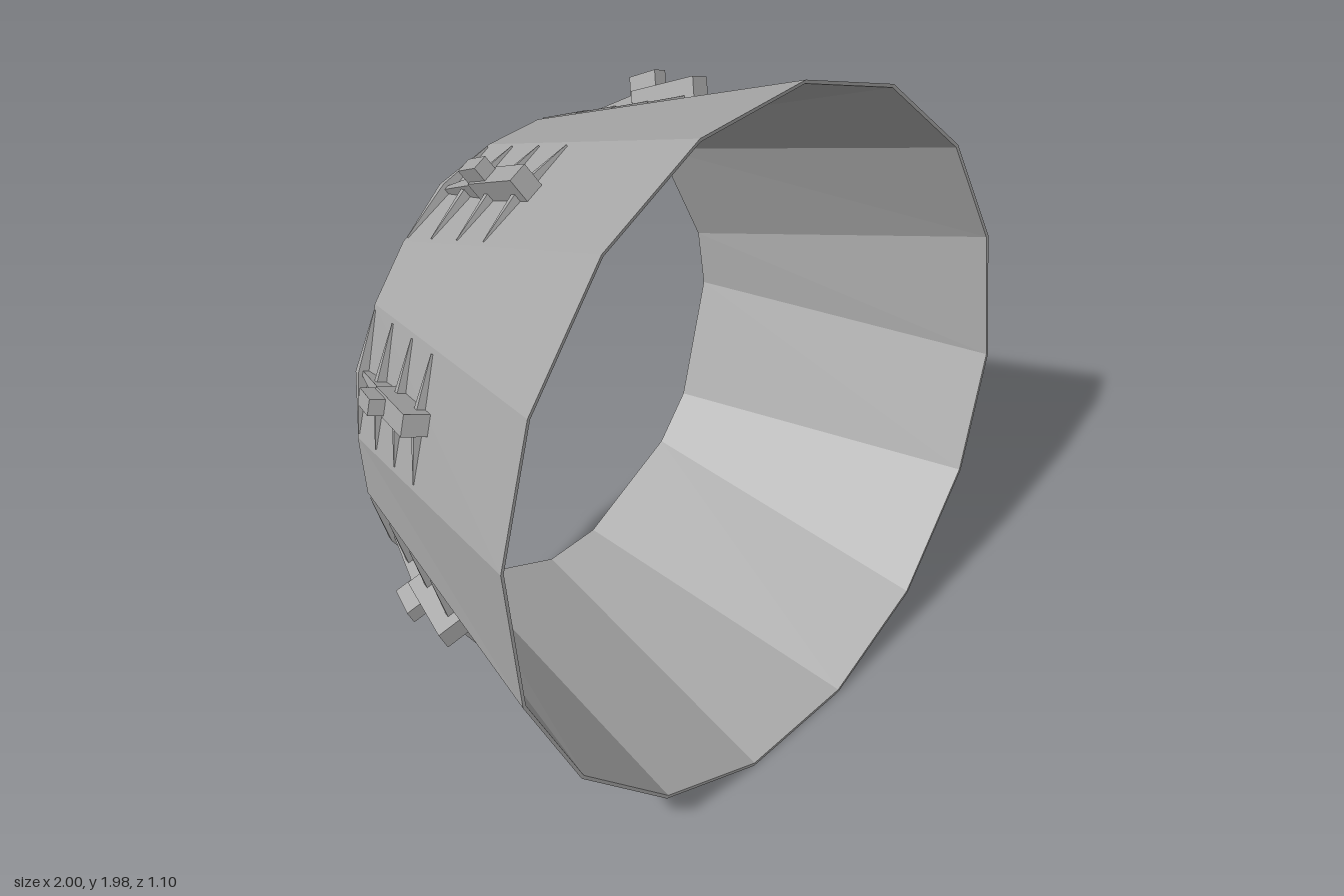
import * as THREE from 'three';

const steel = new THREE.MeshStandardMaterial({ color: 0xaaaaaa, flatShading: true });
steel.name = 'steel grey';

// Right half of each rim, from the top down: [x, y]
const FRONT = [[0.2, 1.985], [0.56, 1.84], [0.85, 1.55], [1, 1.2], [1, 0.795], [0.85, 0.45], [0.56, 0.155], [0.2, 0.005]];
const REAR = [[0.095, 1.605], [0.44, 1.46], [0.57, 1.33], [0.71, 0.98], [0.715, 0.8], [0.57, 0.45], [0.445, 0.33], [0.095, 0.18]];

// Mirrors a half rim into a full tilted ring of 16 points
function ring(half, centreY, z, shrink = 0) {
  const full = [...half, ...half.slice().reverse().map(([x, y]) => [-x, y])];
  return full.map(([x, y]) => {
    const r = Math.hypot(x, y - centreY);
    const s = 1 - shrink / r;
    return new THREE.Vector3(x * s, centreY + (y - centreY) * s, z - 0.122 * (y - centreY));
  });
}

// Thin-walled faceted shell: outer front, outer rear, inner rear, inner front
function makeShell(outerFront, outerRear) {
  const rings = [outerFront, outerRear, ring(REAR, 0.89, -0.457, 0.006), ring(FRONT, 1, 0.43, 0.01)];
  const points = [];
  rings.forEach((a, i) => {
    const b = rings[(i + 1) % rings.length];
    for (let k = 0; k < 16; k++) {
      const n = (k + 1) % 16;
      points.push(a[k], a[n], b[n], a[k], b[n], b[k]);
    }
  });
  const geometry = new THREE.BufferGeometry().setFromPoints(points);
  geometry.computeVertexNormals();
  const shell = new THREE.Mesh(geometry, steel);
  shell.name = 'shell';
  return shell;
}

// Box along z from z0 to z1, tapering from width w0, height h0 to w1, h1
function taperedBar(name, z0, z1, w0, h0, w1, h1, base = -0.003) {
  const geometry = new THREE.BoxGeometry(1, 1, 1);
  const p = geometry.attributes.position;
  for (let i = 0; i < p.count; i++) {
    const far = p.getZ(i) > 0;
    p.setXYZ(i, p.getX(i) * (far ? w1 : w0),
      p.getY(i) > 0 ? (far ? h1 : h0) : base, far ? z1 : z0);
  }
  geometry.computeVertexNormals();
  const mesh = new THREE.Mesh(geometry, steel);
  mesh.name = name;
  return mesh;
}

// Actuator: local z runs to the rear, y points out of the panel
function makeActuator(length) {
  const g = new THREE.Group();
  g.name = 'actuator';
  g.add(taperedBar('actuatorBody', 0.53 * length, 0.77 * length, 0.06, 0.075, 0.06, 0.06));
  g.add(taperedBar('actuatorHousing', 0.68 * length, 0.78 * length, 0.045, 0.11, 0.045, 0.1, 0.03));
  g.add(taperedBar('tailRod', 0.77 * length, 0.995 * length, 0.045, 0.05, 0.012, 0.015));
  // Pointed ribs on both sides
  for (const t of [0.575, 0.715, 0.855, 0.99]) {
    for (const side of [-1, 1]) {
      const rib = taperedBar('rib', 0, 0.175, 0.02, 0.03, 0.002, 0.004);
      rib.rotation.y = side * Math.PI / 2;
      rib.position.z = t * length;
      g.add(rib);
    }
  }
  return g;
}

export function createModel() {
  const model = new THREE.Group();
  model.name = 'nozzle';
  const front = ring(FRONT, 1, 0.43);
  const rear = ring(REAR, 0.89, -0.457);
  model.add(makeShell(front, rear));

  // One actuator on every second panel
  for (let k = 0; k < 16; k += 2) {
    const a = front[k].clone().add(front[k + 1]).multiplyScalar(0.5);
    const b = rear[k].clone().add(rear[k + 1]).multiplyScalar(0.5);
    const back = b.clone().sub(a);
    const length = back.length();
    back.normalize();
    const along = rear[k + 1].clone().sub(rear[k]);
    const out = along.cross(back).normalize();
    const across = out.clone().cross(back);
    const actuator = makeActuator(length);
    actuator.quaternion.setFromRotationMatrix(new THREE.Matrix4().makeBasis(across, out, back));
    actuator.position.copy(a);
    model.add(actuator);
  }
  return model;
}
